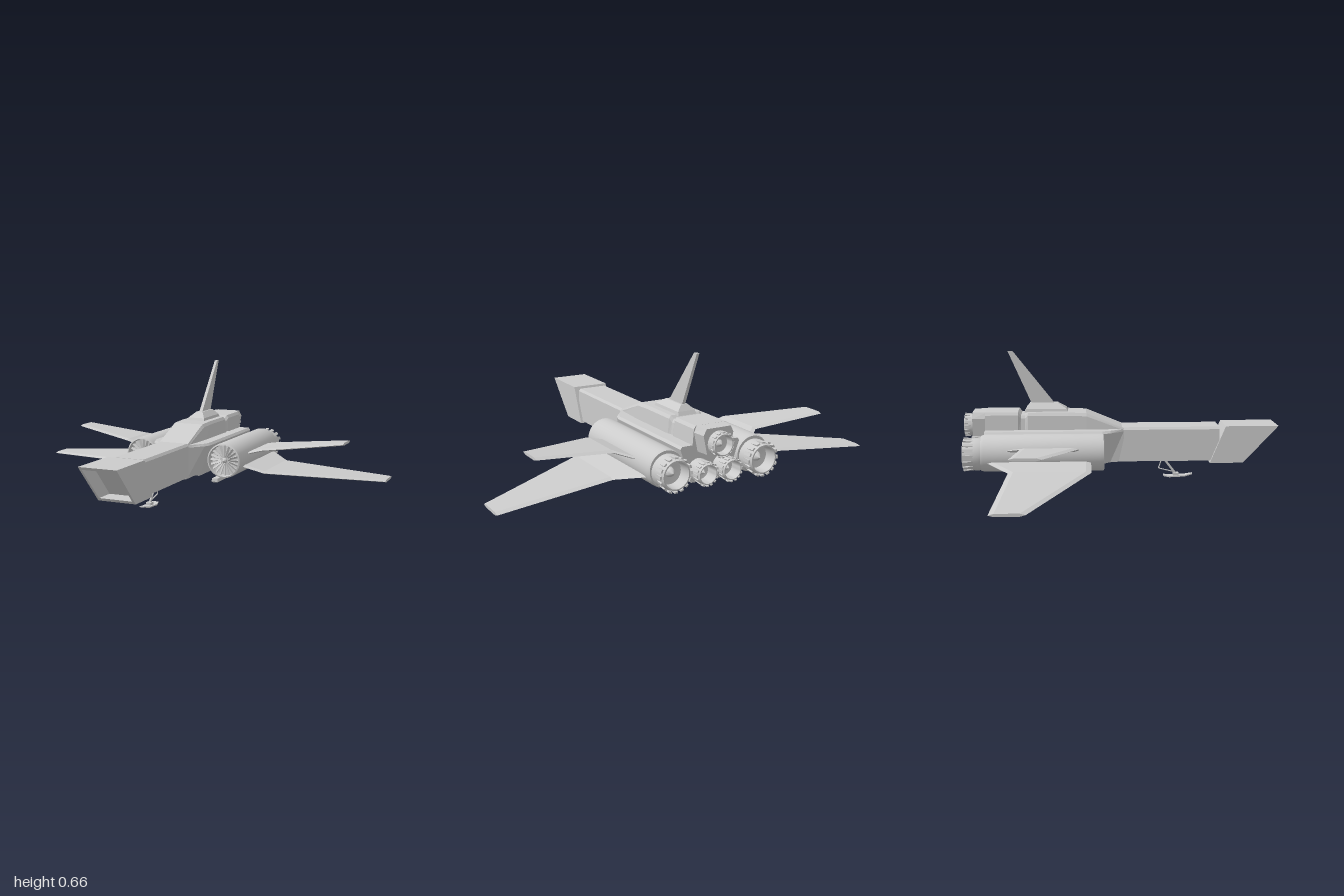
import * as THREE from 'three';
import { toCreasedNormals, mergeGeometries } from 'three/addons/utils/BufferGeometryUtils.js';

const grey = new THREE.MeshStandardMaterial({ color: 0xcccccc, side: THREE.DoubleSide });

// Closed skin through rings of [x, y, z] points, turned outward by its signed volume
function loft(rings) {
  const tris = [], n = rings[0].length, last = rings[rings.length - 1];
  for (let r = 0; r < rings.length - 1; r++) {
    for (let i = 0; i < n; i++) {
      const j = (i + 1) % n, A = rings[r], B = rings[r + 1];
      tris.push([A[i], B[i], B[j]], [A[i], B[j], A[j]]);
    }
  }
  for (let i = 1; i < n - 1; i++) {
    tris.push([rings[0][0], rings[0][i], rings[0][i + 1]], [last[0], last[i + 1], last[i]]);
  }
  const v = (p) => new THREE.Vector3(...p);
  const volume = tris.reduce((s, [a, b, c]) => s + v(a).dot(v(b).cross(v(c))), 0);
  if (volume < 0) tris.forEach((t) => t.reverse());
  const geo = new THREE.BufferGeometry();
  geo.setAttribute('position', new THREE.Float32BufferAttribute(tris.flat(2), 3));
  geo.computeVertexNormals();
  return geo;
}

// Fuselage cross-section with a chamfered top; wb, wm, wt are half widths from bottom to top
const hull = (z, yb, yt, wb, wm, wt, c = 0.012) => [
  [-wb, yb, z], [wb, yb, z], [wm, yt - c, z], [wt, yt, z], [-wt, yt, z], [-wm, yt - c, z]];

// Flat rectangle ring in the horizontal plane
const plan = (y, w, zf, zb) => [[-w, y, zf], [w, y, zf], [w, y, zb], [-w, y, zb]];

// Raked rectangle ring, with its own z for the lower and upper edges
const raked = (w, yb, yt, zb, zt) => [[-w, yb, zb], [w, yb, zb], [w, yt, zt], [-w, yt, zt]];

// Round part whose profile [radius, distance aft] turns about the z axis
function turned(profile, sides = 32) {
  const geo = new THREE.LatheGeometry(profile.map((p) => new THREE.Vector2(...p)), sides);
  geo.rotateX(-Math.PI / 2);
  return toCreasedNormals(geo, 0.5);
}

function rod(a, b, r) {
  const A = new THREE.Vector3(...a), B = new THREE.Vector3(...b), d = B.clone().sub(A);
  const geo = new THREE.CylinderGeometry(r, r, d.length(), 10);
  geo.applyQuaternion(new THREE.Quaternion().setFromUnitVectors(new THREE.Vector3(0, 1, 0), d.normalize()));
  const mid = A.add(B).multiplyScalar(0.5);
  return geo.translate(mid.x, mid.y, mid.z);
}

// Thin bent wing from stations [x, y, leading z, trailing z]
function wing(side, stations, t = 0.007) {
  return loft(stations.map(([x, y, lead, trail]) => [
    [lead, 0], [lead - 0.025, t], [trail + 0.025, t], [trail, 0], [trail + 0.025, -t], [lead - 0.025, -t],
  ].map(([z, dy]) => [side * x, y + dy, z])));
}

export function createModel() {
  const model = new THREE.Group();
  const add = (name, geo, parent = model) => {
    const mesh = new THREE.Mesh(geo, grey);
    mesh.name = name;
    parent.add(mesh);
    return mesh;
  };

  // Hollow exhaust with overlapping petals around it
  function nozzle(name, x, y, z, r, len) {
    const g = new THREE.Group();
    g.name = name;
    g.position.set(x, y, z);
    model.add(g);
    add('exhaustShell', turned([
      [0, 0], [r * 0.93, 0], [r * 0.97, len * 0.2], [r * 0.95, len * 0.5], [r * 0.84, len],
      [r * 0.76, len], [r * 0.7, len * 0.35], [0, len * 0.3],
    ]), g);
    const petals = [];
    for (let i = 0; i < 16; i++) {
      const petal = new THREE.BoxGeometry(r * 0.2, r * 0.09, len * 0.82);
      petal.rotateX(0.11).translate(0, r * 0.92, -len * 0.55).rotateZ(i * Math.PI / 8);
      petals.push(petal);
    }
    add('petals', mergeGeometries(petals), g);
    add('exhaustCone', turned([[r * 0.3, len * 0.3], [r * 0.22, len * 0.5], [0, len * 0.7]], 16), g);
  }

  // Raked nose intake: recess, lip and outer walls in one skin
  add('noseIntake', loft([
    raked(0.086, 0.105, 0.265, 0.534, 0.686),
    raked(0.086, 0.105, 0.265, 0.634, 0.786),
    raked(0.098, 0.09, 0.28, 0.62, 0.8),
    raked(0.098, 0.09, 0.28, 0.45, 0.53),
  ]));

  // Long neck and flared main body
  add('neck', loft([
    hull(0.5, 0.1, 0.275, 0.085, 0.085, 0.075),
    hull(-0.12, 0.1, 0.275, 0.085, 0.085, 0.075)]));
  add('mainBody', loft([
    hull(0.01, 0.1, 0.268, 0.082, 0.086, 0.08),
    hull(-0.06, 0.097, 0.268, 0.09, 0.145, 0.135),
    hull(-0.1, 0.09, 0.268, 0.1, 0.16, 0.15),
    hull(-0.69, 0.09, 0.268, 0.1, 0.16, 0.15)]));

  // Sloped spine with a notch ahead of the upper engine fairing
  add('spine', loft([
    hull(0.01, 0.25, 0.272, 0.085, 0.085, 0.08, 0.01),
    hull(-0.18, 0.25, 0.35, 0.097, 0.09, 0.08, 0.015),
    hull(-0.27, 0.25, 0.354, 0.097, 0.09, 0.08, 0.015),
    hull(-0.475, 0.25, 0.354, 0.097, 0.09, 0.08, 0.015),
    hull(-0.49, 0.25, 0.34, 0.09, 0.082, 0.072, 0.015),
    hull(-0.51, 0.25, 0.34, 0.09, 0.082, 0.072, 0.015),
    hull(-0.525, 0.25, 0.357, 0.097, 0.09, 0.08, 0.015),
    hull(-0.69, 0.25, 0.357, 0.097, 0.09, 0.08, 0.015)]));
  add('upperEngineFairing', loft([
    hull(-0.68, 0.235, 0.357, 0.07, 0.09, 0.078, 0.03),
    hull(-0.755, 0.235, 0.355, 0.06, 0.08, 0.065, 0.03)]));

  // Dorsal pod and swept fin
  add('finPod', loft([
    plan(0.35, 0.05, -0.27, -0.495), plan(0.368, 0.046, -0.28, -0.485), plan(0.396, 0.018, -0.325, -0.465)]));
  add('fin', loft([plan(0.39, 0.009, -0.34, -0.457), plan(0.66, 0.007, -0.553, -0.577)]));

  // Centre exhausts
  nozzle('upperNozzle', 0, 0.283, -0.74, 0.06, 0.06);
  for (const side of [-1, 1]) nozzle('lowerNozzle', side * 0.066, 0.15, -0.68, 0.056, 0.1);

  for (const side of [-1, 1]) {
    // Engine nacelle with recessed fan
    const nacelle = new THREE.Group();
    nacelle.name = side > 0 ? 'leftNacelle' : 'rightNacelle';
    nacelle.position.set(side * 0.235, 0.18, 0);
    model.add(nacelle);
    add('casing', turned([
      [0, 0.14], [0.081, 0.14], [0.083, 0.095], [0.09, 0.098], [0.091, 0.12], [0.091, 0.68], [0.086, 0.695], [0, 0.695],
    ], 40), nacelle);
    const blades = [];
    for (let i = 0; i < 20; i++) {
      const blade = new THREE.BoxGeometry(0.012, 0.066, 0.003);
      blade.rotateY(0.6).translate(0, 0.047, -0.118).rotateZ(i * Math.PI / 10);
      blades.push(blade);
    }
    add('fanBlades', mergeGeometries(blades), nacelle);
    add('spinner', turned([[0, 0.098], [0.012, 0.106], [0.019, 0.14]], 20), nacelle);
    nozzle('nacelleNozzle', side * 0.235, 0.18 - 0.005, -0.69, 0.082, 0.095);

    // Paired wings, spread apart in an X from each nacelle
    add('lowerWing', wing(side, [
      [0.29, 0.155, -0.16, -0.685], [0.32, 0.145, -0.16, -0.66], [0.43, 0.12, -0.16, -0.555], [1, 0.073, -0.44, -0.597]]));
    add('upperWing', wing(side, [
      [0.29, 0.195, -0.22, -0.595], [0.32, 0.205, -0.22, -0.57], [0.395, 0.226, -0.22, -0.5], [0.787, 0.26, -0.38, -0.527]]));

    // Main landing skid
    const gear = new THREE.Group();
    gear.name = 'mainGear';
    gear.position.x = side * 0.095;
    model.add(gear);
    add('skid', loft([
      plan(0.01, 0.012, -0.325, -0.465), plan(0.016, 0.018, -0.318, -0.472), plan(0.034, 0.016, -0.318, -0.472)]), gear);
    add('strut', rod([0, 0.1, -0.44], [0, 0.03, -0.39], 0.007), gear);
    add('brace', rod([0, 0.1, -0.39], [0, 0.055, -0.41], 0.004), gear);
    add('ankle', new THREE.BoxGeometry(0.02, 0.018, 0.03).translate(0, 0.04, -0.395), gear);
  }

  // Nose ski with turned-up ends
  const noseGear = new THREE.Group();
  noseGear.name = 'noseGear';
  model.add(noseGear);
  add('ski', loft([[0.37, 0.012, 0.012], [0.33, 0.003, 0.022], [0.25, 0, 0.024], [0.22, 0.005, 0.016]]
    .map(([z, y, w]) => raked(w, y, y + 0.006, z, z))), noseGear);
  add('strut', rod([0, 0.105, 0.215], [0, 0.008, 0.29], 0.006), noseGear);
  add('rearLink', rod([0, 0.105, 0.215], [0, 0.045, 0.195], 0.003), noseGear);
  add('lowerLink', rod([0, 0.045, 0.195], [0, 0.025, 0.275], 0.003), noseGear);
  add('ankle', new THREE.BoxGeometry(0.026, 0.016, 0.03).translate(0, 0.013, 0.285), noseGear);

  return model;
}
